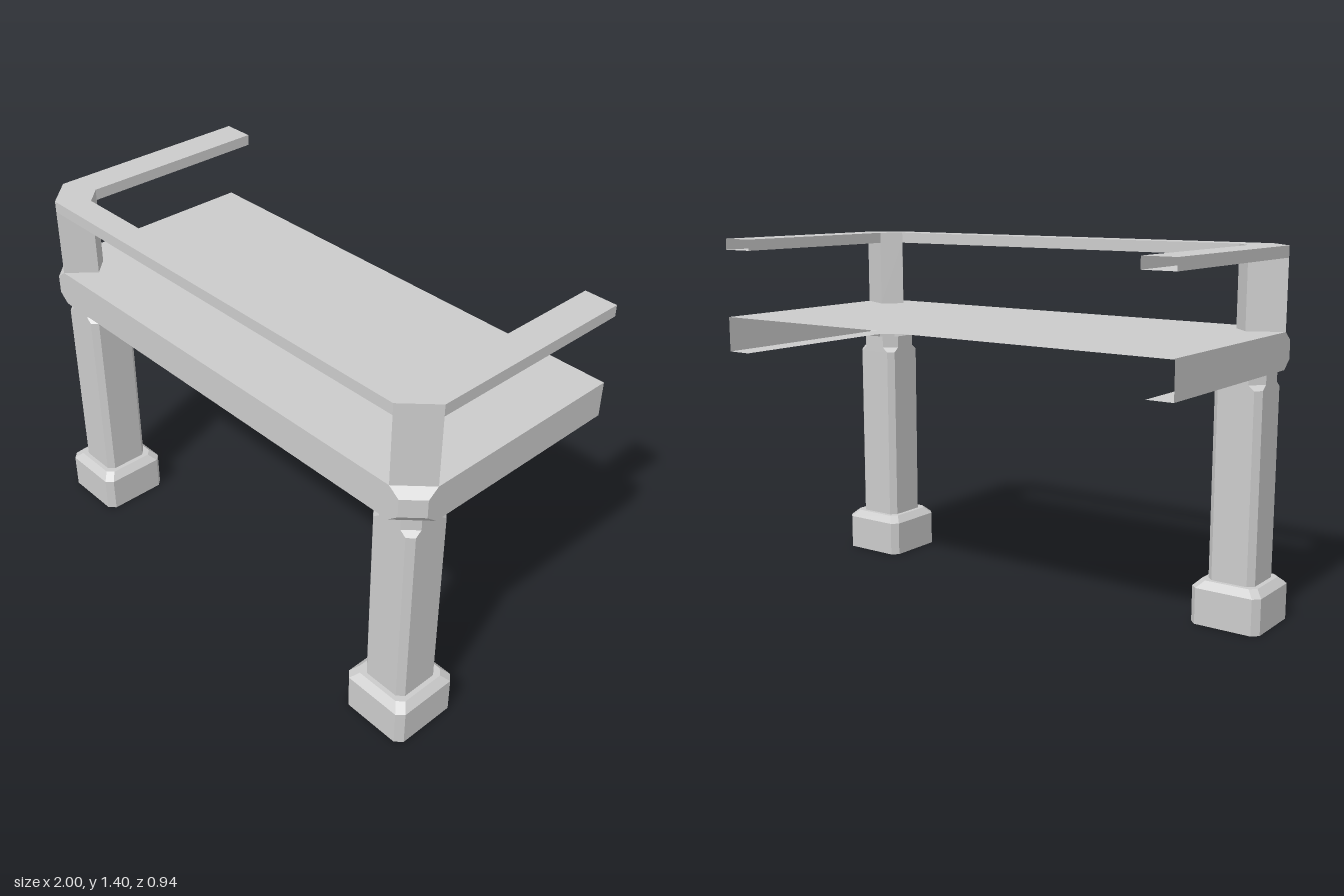
import * as THREE from 'three';

const material = new THREE.MeshStandardMaterial({
  color: 0xcccccc, flatShading: true, side: THREE.DoubleSide,
});

// Skins a list of cross-sections, each an array of [x, y, z]
function loft(name, rows, closed) {
  const pos = [];
  for (let i = 0; i < rows.length - 1; i++) {
    const lo = rows[i], hi = rows[i + 1], n = lo.length;
    for (let j = 0; j < (closed ? n : n - 1); j++) {
      const k = (j + 1) % n;
      pos.push(...lo[j], ...lo[k], ...hi[k], ...lo[j], ...hi[k], ...hi[j]);
    }
  }
  const geo = new THREE.BufferGeometry();
  geo.setAttribute('position', new THREE.Float32BufferAttribute(pos, 3));
  geo.computeVertexNormals();
  return named(name, geo);
}

function named(name, geo) {
  const mesh = new THREE.Mesh(geo, material);
  mesh.name = name;
  return mesh;
}

// U-shaped path, open at the back, with two cut front corners
const BACK = -0.47;
const uPath = (x, z, cut, y) => [
  [-x, y, BACK], [-x, y, z - cut], [-x + cut, y, z],
  [x - cut, y, z], [x, y, z - cut], [x, y, BACK],
];

// Square with cut corners, centred on a leg
const LEG_X = 0.86, LEG_Z = 0.333;
const octagon = (h, cut, y) => {
  const c = h - cut;
  return [[-h, -c], [-h, c], [-c, h], [c, h], [h, c], [h, -c], [c, -h], [-c, -h]]
    .map(([x, z]) => [LEG_X + x, y, LEG_Z + z]);
};

export function createModel() {
  const model = new THREE.Group();

  // Deck: underside lip, fascia with bulging corners, top sheet
  const deck = new THREE.Group();
  deck.name = 'deck';
  deck.add(loft('fascia', [
    uPath(0.89, 0.36, 0.07, 0.96),
    uPath(0.99, 0.463, 0.107, 0.96),
    uPath(0.99, 0.463, 0.065, 0.995),
    uPath(0.99, 0.463, 0.065, 1.065),
    uPath(0.99, 0.463, 0.107, 1.097),
  ], false));
  const outline = uPath(0.99, 0.463, 0.107, 0).map(([x, , z]) => new THREE.Vector2(x, -z));
  const top = new THREE.ShapeGeometry(new THREE.Shape(outline));
  top.rotateX(-Math.PI / 2).translate(0, 1.097, 0);
  deck.add(named('deckTop', top));
  model.add(deck);

  // Handrail: hollow bar with open back ends
  const outer = (y) => uPath(0.99, 0.463, 0.107, y);
  const inner = (y) => uPath(0.863, 0.36, 0.067, y);
  model.add(loft('handrail',
    [outer(1.36), outer(1.403), inner(1.403), inner(1.36), outer(1.36)], false));

  // Post, leg and foot on each side
  for (const side of [1, -1]) {
    const support = new THREE.Group();
    support.name = side > 0 ? 'leftSupport' : 'rightSupport';

    const post = (y) => [[0.99, y, 0.356], [0.863, y, 0.293], [0.796, y, 0.36], [0.883, y, 0.463]];
    support.add(loft('railPost', [post(1.097), post(1.36)], true));

    support.add(loft('leg', [
      octagon(0.094, 0.023, 0.165),
      octagon(0.094, 0.023, 0.893),
      octagon(0.094, 0.047, 0.912),
      octagon(0.094, 0.047, 0.96),
    ], true));

    support.add(loft('foot', [
      octagon(0.139, 0.025, 0),
      octagon(0.139, 0.025, 0.14),
      octagon(0.112, 0.024, 0.167),
      octagon(0.094, 0.023, 0.167),
    ], true));

    support.scale.x = side;
    model.add(support);
  }
  return model;
}
